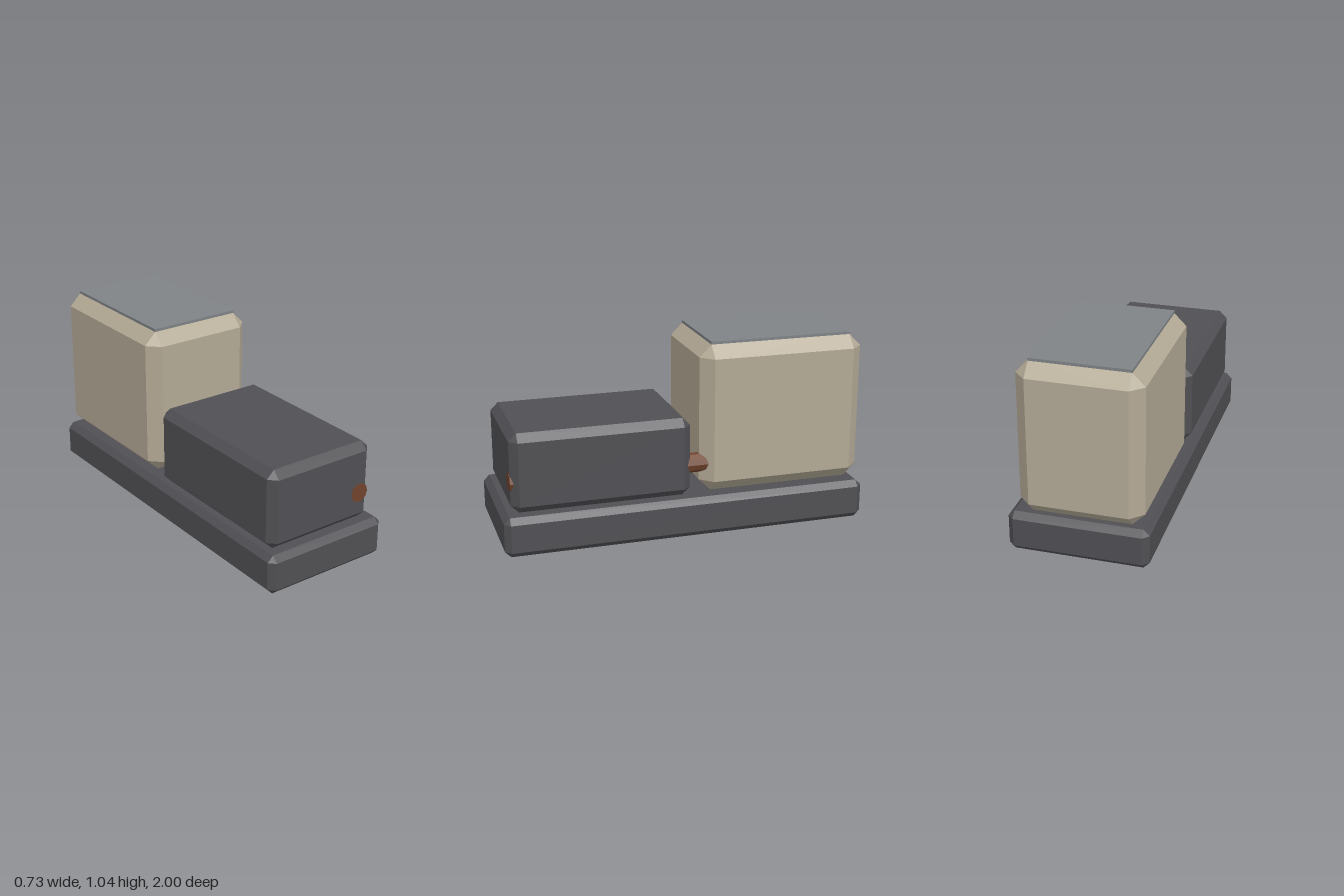
import * as THREE from 'three';
import { ConvexGeometry } from 'three/addons/geometries/ConvexGeometry.js';

const material = (name, color) => {
  const m = new THREE.MeshStandardMaterial({ color });
  m.name = name;
  return m;
};

// Box between two corners with every edge cut at 45 degrees
function chamferBox(min, max, c) {
  const mid = min.map((v, i) => (v + max[i]) / 2);
  const half = min.map((v, i) => (max[i] - v) / 2);
  const points = [];
  for (const sx of [-1, 1]) for (const sy of [-1, 1]) for (const sz of [-1, 1]) {
    const s = [sx, sy, sz];
    for (let outer = 0; outer < 3; outer++) {
      const p = s.map((sign, i) => mid[i] + sign * (half[i] - (i === outer ? 0 : c)));
      points.push(new THREE.Vector3(...p));
    }
  }
  return new ConvexGeometry(points);
}

export function createModel() {
  const group = new THREE.Group();
  const charcoal = material('charcoal', 0x504f53);
  const beige = material('beige', 0xb3a995);
  const slate = material('slate grey', 0x7f8386);
  const rust = material('rust brown', 0x70432c);

  const add = (name, geometry, mat) => {
    const mesh = new THREE.Mesh(geometry, mat);
    mesh.name = name;
    group.add(mesh);
    return mesh;
  };

  // Long base slab
  add('base', chamferBox([-0.367, 0, -1], [0.367, 0.217, 1], 0.032), charcoal);
  // Low front housing
  add('frontHousing', chamferBox([-0.335, 0.217, -0.022], [0.312, 0.65, 0.95], 0.042), charcoal);
  // Tall rear cabin and its thin roof
  add('cabin', chamferBox([-0.335, 0.217, -1], [0.312, 1.03, -0.08], 0.066), beige);
  const roof = add('roof', new THREE.BoxGeometry(0.518, 0.015, 0.79), slate);
  roof.position.set(-0.011, 1.0375, -0.54);

  // Ten-sided pipe running through the housing into the cabin
  const front = 0.952, back = -0.2;
  const pipeShape = new THREE.CylinderGeometry(0.053, 0.053, front - back, 10).toNonIndexed();
  pipeShape.rotateY(Math.PI / 2).rotateX(Math.PI / 2);
  pipeShape.computeVertexNormals();
  const pipe = add('pipe', pipeShape, rust);
  pipe.position.set(0.235, 0.38, (front + back) / 2);

  return group;
}
